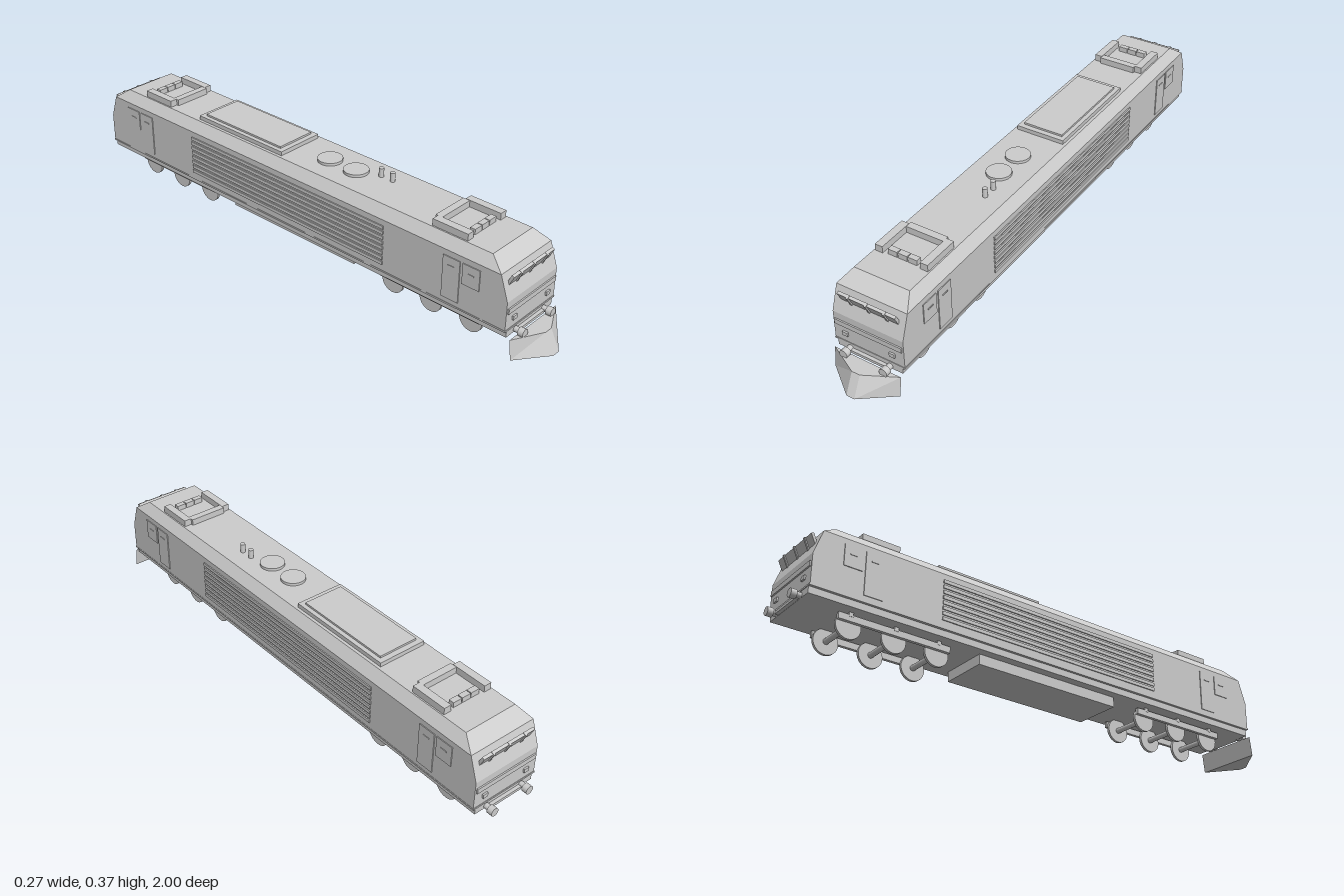
import * as THREE from 'three';

const grey = new THREE.MeshStandardMaterial({ color: 0xcccccc });
grey.name = 'plain grey';
const CENTRE = -0.035; // z of the locomotive's middle; the plough sticks out in front

function add(parent, name, geometry, x = 0, y = 0, z = 0) {
  const mesh = new THREE.Mesh(geometry, grey);
  mesh.name = name;
  mesh.position.set(x, y, z);
  parent.add(mesh);
  return mesh;
}

// Box given by its limits on each axis
function box(parent, name, x0, x1, y0, y1, z0, z1) {
  return add(parent, name, new THREE.BoxGeometry(x1 - x0, y1 - y0, z1 - z0),
    (x0 + x1) / 2, (y0 + y1) / 2, (z0 + z1) / 2);
}

// Flat-faced solid from stacked rings of points, anticlockwise seen from above
function loft(rings) {
  const pos = [];
  const n = rings[0].length;
  const tri = (a, b, c) => pos.push(...a, ...b, ...c);
  for (let r = 0; r < rings.length - 1; r++) {
    for (let i = 0; i < n; i++) {
      const j = (i + 1) % n;
      const [a, b, c, d] = [rings[r][i], rings[r][j], rings[r + 1][j], rings[r + 1][i]];
      tri(a, b, c);
      tri(a, c, d);
    }
  }
  const top = rings[rings.length - 1];
  for (let i = 1; i < n - 1; i++) {
    tri(top[0], top[i], top[i + 1]);
    tri(rings[0][0], rings[0][i + 1], rings[0][i]);
  }
  const g = new THREE.BufferGeometry();
  g.setAttribute('position', new THREE.Float32BufferAttribute(pos, 3));
  g.computeVertexNormals();
  return g;
}

// Everything that repeats at both ends, built facing +z around the middle
function buildEnd() {
  const end = new THREE.Group();

  // Windscreen leaning out at the top, with mullions
  const screen = new THREE.Group();
  screen.name = 'windscreen';
  screen.position.set(0, 0.276, 0.914);
  screen.rotation.x = 0.45;
  box(screen, 'windscreenGlass', -0.107, 0.107, -0.022, 0.022, -0.005, 0.005);
  for (const x of [-0.067, 0, 0.067]) {
    box(screen, 'windscreenMullion', x - 0.004, x + 0.004, -0.024, 0.024, -0.005, 0.009);
  }
  end.add(screen);

  // Nose band, headlights, buffers and buffer beam
  box(end, 'noseBand', -0.125, 0.125, 0.172, 0.19, 0.926, 0.933);
  box(end, 'bufferBeam', -0.065, 0.065, 0.085, 0.095, 0.925, 0.94);
  for (const s of [-1, 1]) {
    box(end, 'headlight', s * 0.088 - 0.01, s * 0.088 + 0.01, 0.138, 0.152, 0.926, 0.934);
    add(end, 'bufferShank', new THREE.CylinderGeometry(0.01, 0.01, 0.03, 20), s * 0.075, 0.093, 0.94)
      .rotation.x = Math.PI / 2;
    add(end, 'bufferHead', new THREE.CylinderGeometry(0.015, 0.015, 0.02, 24), s * 0.075, 0.092, 0.955)
      .rotation.x = Math.PI / 2;

    // Cab door and side window
    const x0 = Math.min(s * 0.128, s * 0.134), x1 = Math.max(s * 0.128, s * 0.134);
    box(end, 'cabDoor', x0, x1, 0.13, 0.282, 0.685, 0.75);
    box(end, 'cabSideWindow', x0, x1, 0.208, 0.282, 0.76, 0.825);
    box(end, 'doorHandle', x0 + s * 0.002, x1 + s * 0.002, 0.25, 0.254, 0.705, 0.73);
    box(end, 'windowRail', x0 + s * 0.002, x1 + s * 0.002, 0.25, 0.254, 0.78, 0.805);

    // Side bars of the roof frame
    box(end, 'roofFrameSide', s * 0.084 - 0.014, s * 0.084 + 0.014, 0.335, 0.363, 0.612, 0.748);
  }

  // Rest of the roof frame
  box(end, 'roofFrameCross', -0.07, 0.07, 0.335, 0.362, 0.602, 0.628);
  for (const x of [-0.037, 0, 0.037]) {
    box(end, 'roofBlock', x - 0.017, x + 0.017, 0.335, 0.358, 0.722, 0.742);
  }

  // Three-axle bogie
  const bogie = new THREE.Group();
  bogie.name = 'bogie';
  for (const z of [0.445, 0.603, 0.763]) {
    add(bogie, 'axle', new THREE.CylinderGeometry(0.01, 0.01, 0.14, 16), 0, 0.045, z)
      .rotation.z = Math.PI / 2;
    for (const s of [-1, 1]) {
      add(bogie, 'wheel', new THREE.CylinderGeometry(0.044, 0.044, 0.01, 32), s * 0.07, 0.045, z)
        .rotation.z = Math.PI / 2;
      box(bogie, 'spring', s * 0.084 - 0.006, s * 0.084 + 0.006, 0.07, 0.088, z - 0.007, z + 0.007);
    }
  }
  for (const s of [-1, 1]) {
    box(bogie, 'bogieSideFrame', s * 0.083 - 0.006, s * 0.083 + 0.006, 0.054, 0.076, 0.403, 0.806);
  }
  end.add(bogie);
  return end;
}

export function createModel() {
  const model = new THREE.Group();
  model.name = 'locomotive';
  const loco = new THREE.Group();
  loco.name = 'locomotiveBody';
  loco.position.z = CENTRE;
  model.add(loco);

  // Body shell: rectangles [y, half width, half length] from sill to roof
  const shell = [[0.113, 0.131, 0.928], [0.215, 0.131, 0.928], [0.302, 0.131, 0.898], [0.339, 0.103, 0.845]]
    .map(([y, w, l]) => [[-w, y, l], [w, y, l], [w, y, -l], [-w, y, -l]]);
  add(loco, 'bodyShell', loft(shell));
  box(loco, 'sill', -0.132, 0.132, 0.107, 0.113, -0.93, 0.93);
  box(loco, 'underframe', -0.122, 0.122, 0.084, 0.107, -0.928, 0.928);

  // Both cab ends
  for (const [name, turn] of [['frontEnd', 0], ['rearEnd', Math.PI]]) {
    const end = buildEnd();
    end.name = name;
    end.rotation.y = turn;
    loco.add(end);
  }

  // Fuel tank
  box(model, 'fuelTank', -0.09, 0.09, 0.048, 0.085, -0.325, 0.253);

  // Louvres along both sides
  for (const s of [-1, 1]) {
    for (let i = 0; i < 8; i++) {
      const y = 0.142 + i * 0.019;
      box(model, 'sideLouvre', s * 0.132 - 0.003, s * 0.132 + 0.003, y - 0.006, y + 0.006, -0.5, 0.41);
    }
  }

  // Roof hatch, fans and exhaust pipes
  box(model, 'roofHatch', -0.092, 0.092, 0.335, 0.354, -0.495, -0.082);
  box(model, 'roofHatchPanel', -0.076, 0.076, 0.354, 0.361, -0.475, -0.102);
  for (const z of [0.06, 0.177]) {
    add(model, 'roofFan', new THREE.CylinderGeometry(0.044, 0.044, 0.014, 32), 0, 0.342, z);
  }
  for (const z of [0.26, 0.308]) {
    add(model, 'exhaustPipe', new THREE.CylinderGeometry(0.009, 0.009, 0.035, 16), 0.032, 0.354, z);
  }

  // Wedge-shaped plough
  const plough = [[0.012, 1.0, 0.917], [0.083, 0.965, 0.908]].map(([y, tip, back]) => [
    [-0.125, y, back], [-0.015, y, tip], [0.015, y, tip], [0.125, y, back]]);
  add(model, 'plough', loft(plough));
  return model;
}
